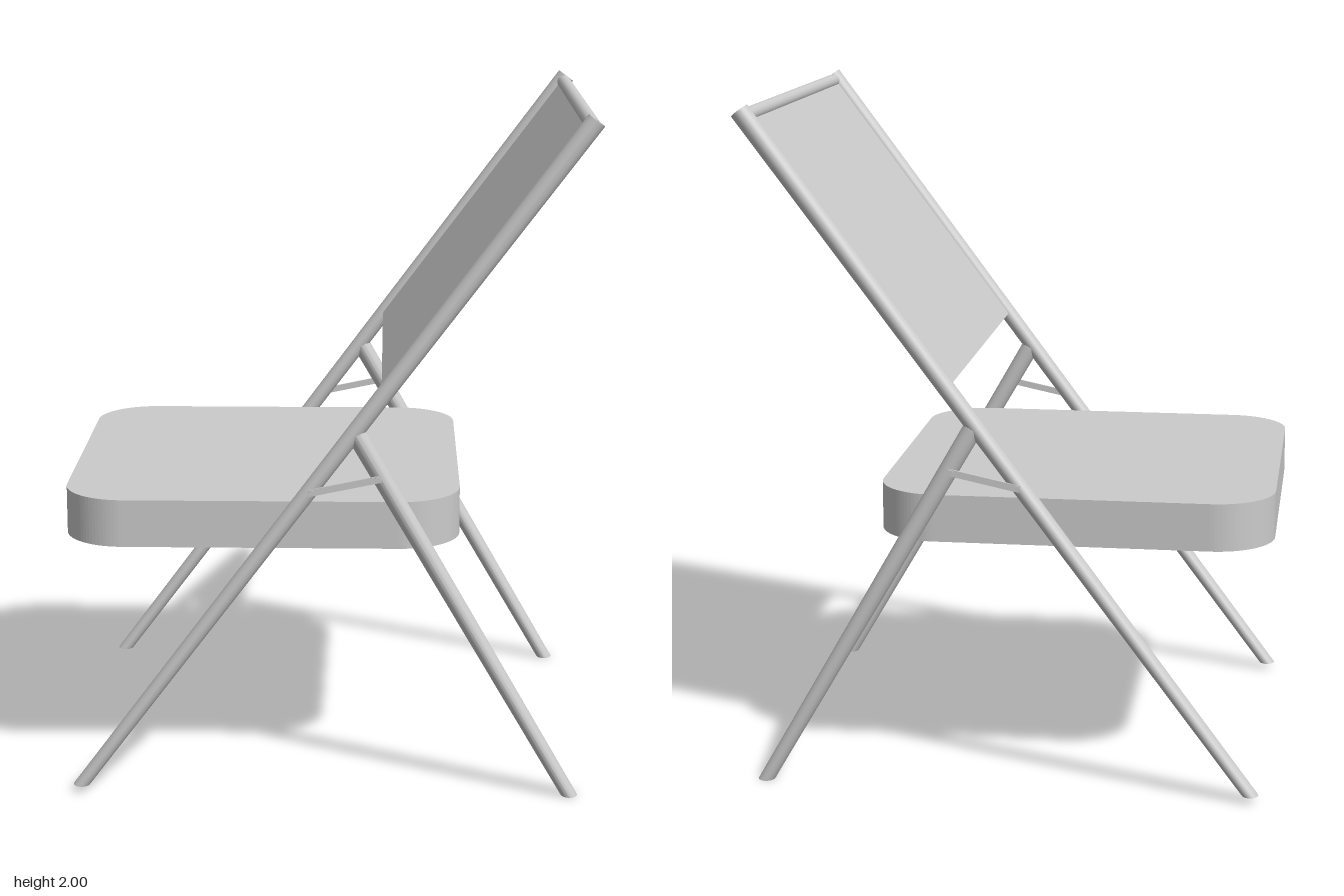
import * as THREE from 'three';

const material = new THREE.MeshStandardMaterial({ color: 0xcccccc });
const SIDE_Z = 0.615;   // centre of the side frames
const TUBE_R = 0.0285;
const FOOT = new THREE.Vector2(-0.725, 0.02);   // rail ends, seen from the side
const TOP = new THREE.Vector2(0.743, 1.983);
const railAt = (y) => FOOT.clone().lerp(TOP, (y - FOOT.y) / (TOP.y - FOOT.y));

function add(parent, name, geometry) {
  const mesh = new THREE.Mesh(geometry, material);
  mesh.name = name;
  parent.add(mesh);
  return mesh;
}

// Tube with its foot cut level with the floor and its top cut square
function legGeometry(foot, top) {
  const geometry = new THREE.CylinderGeometry(TUBE_R, TUBE_R, 1, 24);
  const p = geometry.attributes.position;
  const d = top.clone().sub(foot).normalize();
  for (let i = 0; i < p.count; i++) {
    const x = p.getX(i);
    if (p.getY(i) > 0) p.setXY(i, top.x + x * d.y, top.y - x * d.x);
    else p.setXY(i, foot.x + x * 0.86, foot.y);
  }
  geometry.computeVertexNormals();
  return geometry;
}

// Rectangle centred on the origin with a radius for each pair of corners
function roundedRect(w, h, r, rTop = r) {
  const s = new THREE.Shape();
  const x = w / 2, y = h / 2;
  s.moveTo(-x + r, -y);
  s.lineTo(x - r, -y);
  s.absarc(x - r, -y + r, r, -Math.PI / 2, 0);
  s.lineTo(x, y - rTop);
  s.absarc(x - rTop, y - rTop, rTop, 0, Math.PI / 2);
  s.lineTo(-x + rTop, y);
  s.absarc(-x + rTop, y - rTop, rTop, Math.PI / 2, Math.PI);
  s.lineTo(-x, -y + r);
  s.absarc(-x + r, -y + r, r, Math.PI, Math.PI * 1.5);
  return s;
}

export function createModel() {
  const chair = new THREE.Group();
  chair.name = 'foldingChair';

  // Seat: thick slab with rounded corners
  const seatGeometry = new THREE.ExtrudeGeometry(roundedRect(1.16, 1.17, 0.18), {
    depth: 0.14, bevelEnabled: false, curveSegments: 12,
  });
  seatGeometry.rotateX(-Math.PI / 2);
  add(chair, 'seat', seatGeometry).position.set(-0.195, 0.74, 0);

  // Side frames: long rail, rear leg and folding link on each side
  const rail = legGeometry(FOOT, TOP);
  const rearLeg = legGeometry(new THREE.Vector2(0.71, 0), new THREE.Vector2(0.083, 1.088));
  const linkStart = new THREE.Vector2(-0.045, 0.922);
  const linkEnd = new THREE.Vector2(0.145, 0.962);
  const linkLine = linkEnd.clone().sub(linkStart);
  const pin = new THREE.CylinderGeometry(0.009, 0.009, 0.02, 12).rotateX(Math.PI / 2);
  for (const side of [1, -1]) {
    const frame = new THREE.Group();
    frame.name = side > 0 ? 'frontSideFrame' : 'backSideFrame';
    chair.add(frame);
    add(frame, 'rail', rail).position.z = side * SIDE_Z;
    add(frame, 'rearLeg', rearLeg).position.z = side * SIDE_Z;

    const link = add(frame, 'foldingLink', new THREE.BoxGeometry(linkLine.length() + 0.02, 0.02, 0.006));
    link.position.set((linkStart.x + linkEnd.x) / 2, (linkStart.y + linkEnd.y) / 2, side * 0.643);
    link.rotation.z = linkLine.angle();
    for (const end of [linkStart, linkEnd])
      add(frame, 'linkPin', pin).position.set(end.x, end.y, side * 0.64);
  }

  // Backrest: thin panel between the rails, leaning with them
  const low = railAt(1.2), high = railAt(1.965);
  const backGeometry = new THREE.ExtrudeGeometry(roundedRect(1.18, high.distanceTo(low), 0.02, 0.005), {
    depth: 0.01, bevelEnabled: false, curveSegments: 6,
  });
  backGeometry.translate(0, 0, -0.005);
  backGeometry.rotateY(Math.PI / 2);
  const back = add(chair, 'backPanel', backGeometry);
  back.position.set((low.x + high.x) / 2, (low.y + high.y) / 2, 0);
  back.rotation.z = high.clone().sub(low).angle() - Math.PI / 2;

  // Top crossbar joining the rails
  const bar = add(chair, 'topCrossbar', new THREE.CylinderGeometry(0.021, 0.021, 2 * SIDE_Z, 20));
  bar.rotation.x = Math.PI / 2;
  bar.position.set(high.x + 0.005, high.y, 0);

  return chair;
}
